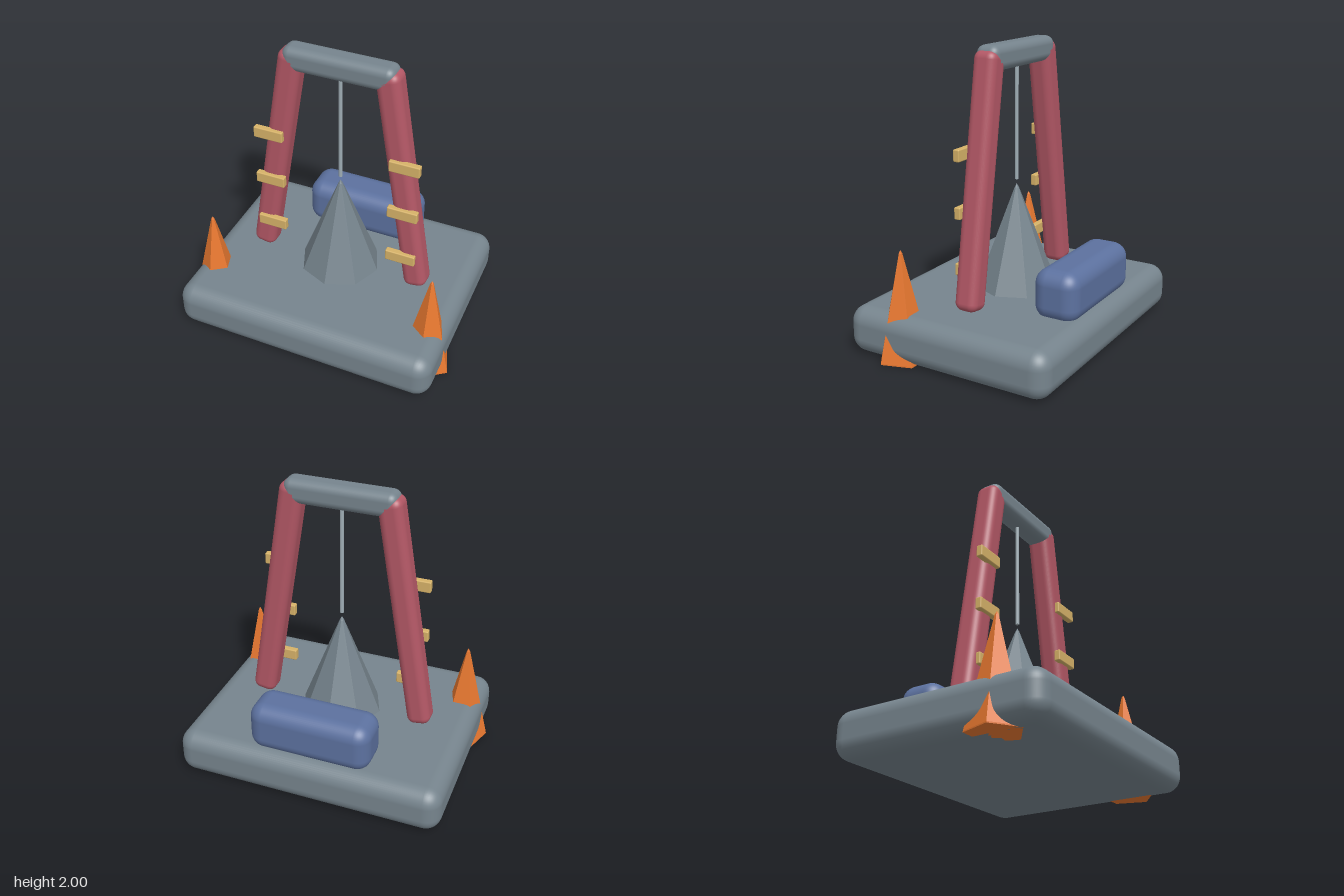
import * as THREE from 'three';
import { RoundedBoxGeometry } from 'three/addons/geometries/RoundedBoxGeometry.js';

const paint = (color, flatShading = false) => new THREE.MeshStandardMaterial({ color, flatShading });

export function createModel() {
  const model = new THREE.Group();
  const slate = paint(0x76848d);
  const slateFlat = paint(0x76848d, true);
  const red = paint(0xb25765);
  const blue = paint(0x5c719f);
  const yellow = paint(0xd6b268);
  const orange = paint(0xe87830, true);
  const steel = paint(0x9fadb5);

  function add(name, geometry, material, x, y, z) {
    const mesh = new THREE.Mesh(geometry, material);
    mesh.name = name;
    mesh.position.set(x, y, z);
    model.add(mesh);
    return mesh;
  }

  // Faceted spike with a slightly blunted tip, standing on y = 0 of its own frame
  function spike(radius, height, sides, tip) {
    const profile = [[0, 0], [radius, 0], [radius, 0.008], [tip, height - tip * 1.8], [0, height]];
    return new THREE.LatheGeometry(profile.map(([r, y]) => new THREE.Vector2(r, y)), sides);
  }

  // Base slab, bench behind and central cone
  add('base', new RoundedBoxGeometry(1.855, 0.32, 1.485, 5, 0.11), slate, 0, 0.16, 0);
  add('bench', new RoundedBoxGeometry(0.845, 0.34, 0.315, 5, 0.1), blue, 0, 0.455, -0.508);
  add('centralCone', spike(0.283, 0.73, 8, 0.015), slateFlat, 0, 0.31, 0);

  // Crossbar with the rod hanging from it
  add('crossbar', new RoundedBoxGeometry(0.76, 0.165, 0.165, 4, 0.055), slate, 0, 1.917, 0);
  add('hangingRod', new THREE.CylinderGeometry(0.013, 0.013, 0.8, 12), steel, 0, 1.47, 0);

  // Mirrored legs, rungs and corner cones
  for (const [side, s] of [['left', 1], ['right', -1]]) {
    const leg = add(side + 'Leg', new RoundedBoxGeometry(0.165, 1.655, 0.165, 4, 0.055), red, s * 0.453, 1.148, 0);
    leg.rotation.z = s * 0.161;

    [0.59, 0.963, 1.336].forEach((y, i) =>
      add(`${side}Rung${i + 1}`, new RoundedBoxGeometry(0.21, 0.08, 0.045, 2, 0.008), yellow, s * 0.48, y, 0.087));

    add(side + 'CornerCone', spike(0.178, 0.737, 5, 0.012), orange, s * 0.8, 0, 0.375);
  }
  return model;
}
